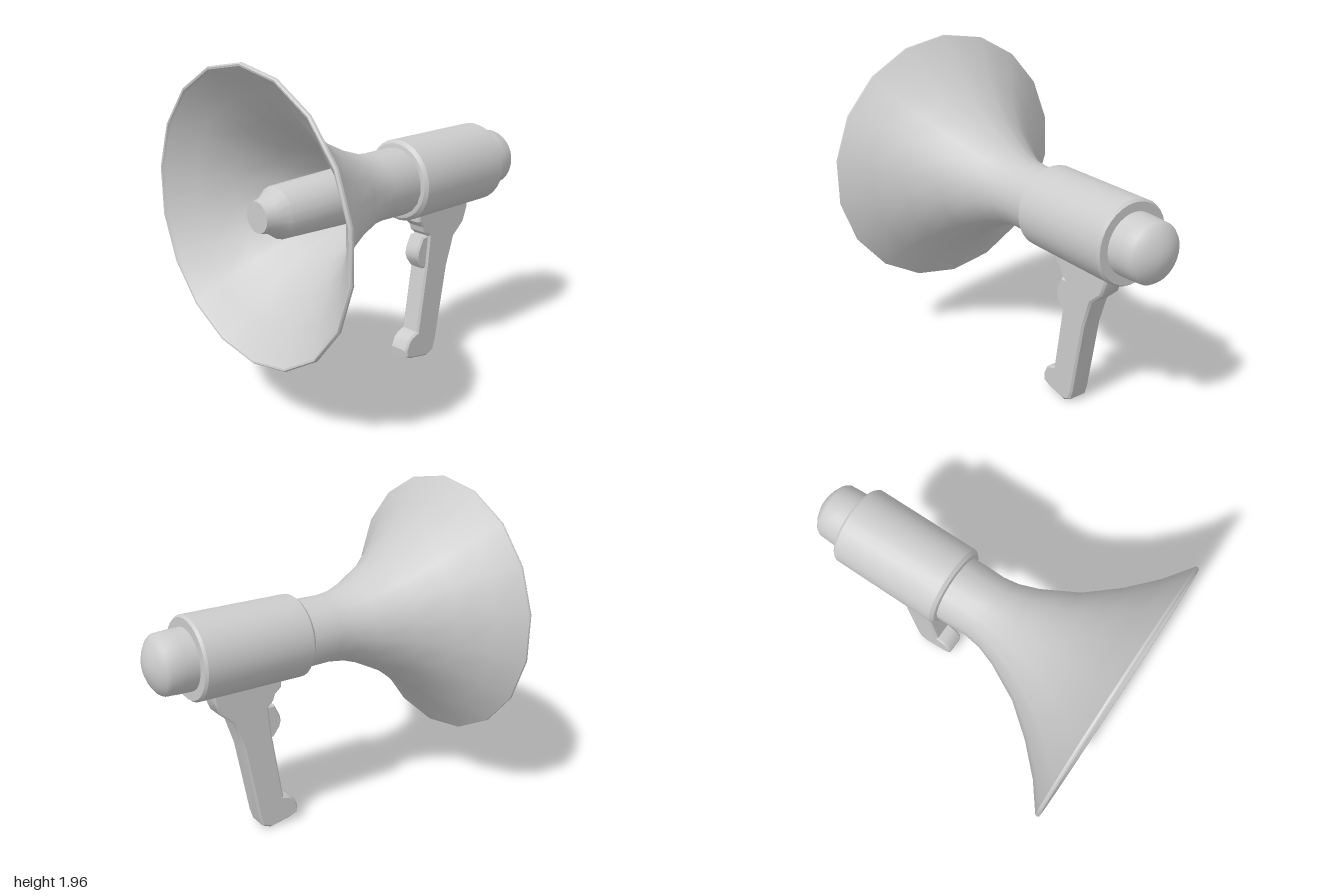
import * as THREE from 'three';
import { toCreasedNormals } from 'three/addons/utils/BufferGeometryUtils.js';

const AXIS_Y = 1.16;
const material = new THREE.MeshStandardMaterial({ color: 0xcccccc });

function part(name, geometry, crease = 0.6) {
  const mesh = new THREE.Mesh(toCreasedNormals(geometry, crease), material);
  mesh.name = name;
  return mesh;
}

// Turned part lying along x; profile is a list of [x, radius]
function turned(name, profile, segments) {
  const points = profile.map(([x, r]) => new THREE.Vector2(r, x));
  const geometry = new THREE.LatheGeometry(points, segments, Math.PI / 2);
  geometry.rotateZ(-Math.PI / 2);
  geometry.translate(0, AXIS_Y, 0);
  return part(name, geometry);
}

// Flat outline in x/y, bevelled and centred on z = 0
function slab(name, outline, width, bevel) {
  const shape = new THREE.Shape(outline.map(([x, y]) => new THREE.Vector2(x, y)));
  const geometry = new THREE.ExtrudeGeometry(shape, {
    depth: width - 2 * bevel,
    bevelThickness: bevel, bevelSize: bevel, bevelOffset: -bevel, bevelSegments: 1,
  });
  geometry.translate(0, 0, bevel - width / 2);
  return part(name, geometry, 0.5);
}

export function createModel() {
  const group = new THREE.Group();
  group.name = 'megaphone';

  // Flared horn: outer skin, rolled rim and thin inner skin
  const outer = [
    [-0.98, 0.795], [-0.865, 0.645], [-0.715, 0.495], [-0.54, 0.355],
    [-0.335, 0.25], [-0.22, 0.21], [-0.12, 0.196], [0.08, 0.2],
  ];
  const inner = outer.slice(1).map(([x, r]) => [x - 0.012, r - 0.018]).reverse();
  group.add(turned('horn', [...inner, [-0.985, 0.768], [-0.998, 0.778], [-1, 0.788], [-0.992, 0.795], ...outer], 18));

  // Sound tube inside the horn
  group.add(turned('soundTube', [
    [-0.93, 0], [-0.93, 0.085], [-0.87, 0.1], [-0.81, 0.142], [-0.3, 0.16], [0.08, 0.17],
  ], 18));

  // Main body with chamfered ends
  group.add(turned('body', [
    [0.07, 0], [0.07, 0.2], [0.075, 0.222], [0.095, 0.24],
    [0.75, 0.24], [0.765, 0.228], [0.765, 0],
  ], 32));

  // Domed rear cap
  group.add(turned('rearCap', [
    [0.75, 0.177], [0.84, 0.175], [0.92, 0.17], [0.94, 0.157],
    [0.965, 0.122], [0.985, 0.08], [0.996, 0.04], [1, 0],
  ], 32));

  // Pistol grip
  group.add(slab('handle', [
    [0.2, 0.97], [0.2, 0.89], [0.245, 0.85], [0.255, 0.815], [0.29, 0.785],
    [0.268, 0.6], [0.195, 0.185], [0.15, 0.17], [0.12, 0.145], [0.095, 0.09],
    [0.1, 0.045], [0.15, 0.025], [0.285, 0], [0.34, 0.025], [0.362, 0.09],
    [0.455, 0.56], [0.515, 0.735], [0.6, 0.81], [0.635, 0.9], [0.64, 0.97],
  ], 0.134, 0.012));

  // Trigger
  group.add(slab('trigger', [
    [0.32, 0.79], [0.245, 0.785], [0.222, 0.74], [0.205, 0.705],
    [0.2, 0.67], [0.212, 0.635], [0.25, 0.585], [0.3, 0.58],
  ], 0.11, 0.01));

  return group;
}
